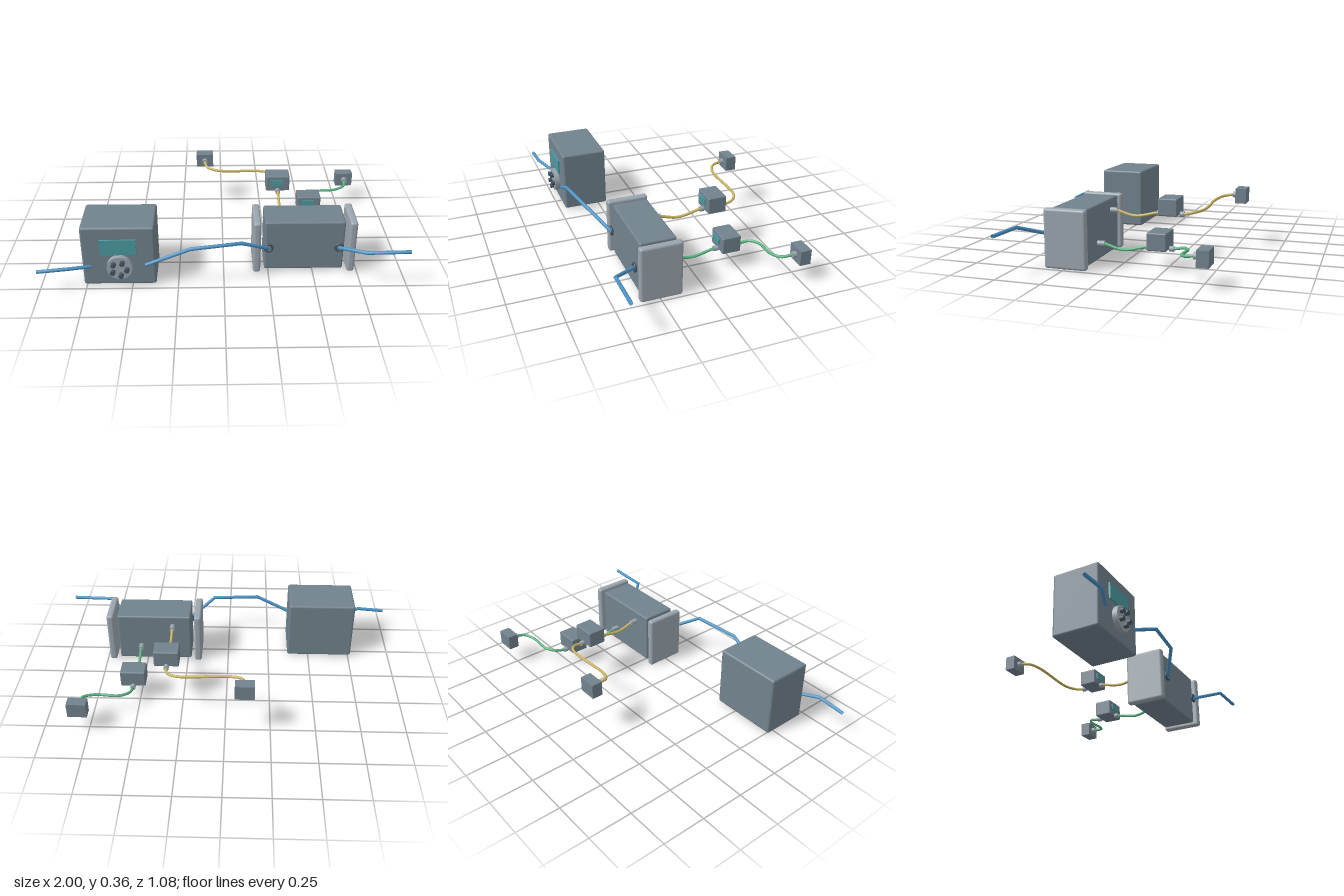
import * as THREE from 'three';
import { RoundedBoxGeometry } from 'three/addons/geometries/RoundedBoxGeometry.js';

const mat = (name, color, side = THREE.FrontSide) => {
  const m = new THREE.MeshStandardMaterial({ color, side });
  m.name = name;
  return m;
};

export function createModel() {
  const body = mat('slate housing', 0x71828d);
  const pale = mat('pale grey', 0x9aa5ae);
  const dark = mat('dark slate', 0x465662);
  const screen = mat('teal screen', 0x4a9aa0);
  const blue = mat('blue hose', 0x4a92c4, THREE.DoubleSide);
  const yellow = mat('yellow hose', 0xc6b262, THREE.DoubleSide);
  const green = mat('green hose', 0x5cb382, THREE.DoubleSide);

  const model = new THREE.Group();
  model.name = 'pumpAndCellAssembly';

  const add = (name, geo, material, x = 0, y = 0, z = 0) => {
    const m = new THREE.Mesh(geo, material);
    m.name = name;
    m.position.set(x, y, z);
    model.add(m);
    return m;
  };
  // box given by its min and max corners; r > 0 rounds the edges
  const box = (name, material, [x0, y0, z0], [x1, y1, z1], r = 0) => {
    const s = [x1 - x0, y1 - y0, z1 - z0];
    const geo = r ? new RoundedBoxGeometry(...s, 3, r) : new THREE.BoxGeometry(...s);
    return add(name, geo, material, (x0 + x1) / 2, (y0 + y1) / 2, (z0 + z1) / 2);
  };
  // cylinder lying along z
  const rod = (name, material, x, y, z0, z1, r, sides = 24) =>
    add(name, new THREE.CylinderGeometry(r, r, z1 - z0, sides).rotateX(Math.PI / 2),
      material, x, y, (z0 + z1) / 2);
  const curveOf = (pts) => new THREE.CatmullRomCurve3(pts.map((p) => new THREE.Vector3(...p)));
  const hose = (name, material, pts, r = 0.008) =>
    add(name, new THREE.TubeGeometry(curveOf(pts), 48, r, 12), material);
  // hose with straight runs: one ring per given point
  const bentHose = (name, pts) => {
    const c = curveOf(pts);
    c.getPointAt = (t, v) => c.getPoint(t, v);
    c.getTangentAt = (t, v) => c.getTangent(t, v);
    add(name, new THREE.TubeGeometry(c, pts.length - 1, 0.01, 12), blue);
  };

  // pump with display and roller head
  box('pumpHousing', body, [-0.765, 0.005, 0.2], [-0.37, 0.362, 0.465], 0.012);
  box('pumpScreen', screen, [-0.665, 0.2, 0.466], [-0.47, 0.292, 0.475]);
  const hx = -0.563, hy = 0.127;
  rod('pumpHead', pale, hx, hy, 0.46, 0.494, 0.069, 32);
  for (let i = 0; i < 5; i++) {
    const a = Math.PI * 0.36 + (i * Math.PI * 2) / 5;
    rod('pumpRoller', dark, hx + 0.041 * Math.cos(a), hy + 0.041 * Math.sin(a), 0.49, 0.515, 0.014, 16);
  }

  // cell block between two end plates
  box('cellBlock', body, [0.228, 0.01, 0.14], [0.67, 0.312, 0.34], 0.01);
  for (const x of [0.164, 0.692])
    box('endPlate', pale, [x, 0, 0.127], [x + 0.042, 0.317, 0.36], 0.014);

  // front ports
  for (const x of [0.248, 0.639])
    add('frontPort', new THREE.TorusGeometry(0.021, 0.007, 10, 28), dark, x, 0.162, 0.358);

  // blue hoses
  bentHose('inletHose', [[-1, 0.132, 0.527], [-0.84, 0.147, 0.525], [-0.72, 0.131, 0.478]]);
  bentHose('feedHose', [[-0.423, 0.133, 0.471], [-0.18, 0.246, 0.493], [0.095, 0.257, 0.457], [0.248, 0.161, 0.36]]);
  bentHose('outletHose', [[0.639, 0.161, 0.36], [0.765, 0.214, 0.497], [1, 0.219, 0.498]]);

  // two sensor lines behind the cell; s is the side the line bends to
  const lines = [
    { name: 'upper', m: yellow, x: 0.336, y: 0.248, ex: -0.106, s: -1 },
    { name: 'lower', m: green, x: 0.533, y: 0.104, ex: 0.801, s: 1 },
  ];
  for (const { name, m, x, y, ex, s } of lines) {
    const ey = y + 0.045;
    box(name + 'Sensor', body, [x - 0.071, y - 0.003, -0.26], [x + 0.071, y + 0.092, -0.154], 0.007);
    box(name + 'SensorScreen', screen, [x - 0.045, y + 0.034, -0.155], [x + 0.03, y + 0.071, -0.147]);
    box(name + 'EndUnit', body, [ex - 0.053, ey - 0.043, -0.542], [ex + 0.053, ey + 0.042, -0.48]);

    rod(name + 'CellFitting', pale, x, y, 0.1, 0.142, 0.015);
    rod(name + 'SensorInletFitting', pale, x, y, -0.155, -0.131, 0.015);
    rod(name + 'SensorOutletFitting', pale, x, y, -0.282, -0.258, 0.015);
    rod(name + 'EndFitting', pale, ex, ey, -0.482, -0.457, 0.0175);

    hose(name + 'SaggingHose', m, [[x, y, 0.102], [x, y - 0.025, 0], [x, y, -0.133]]);
    hose(name + 'BranchHose', m, [
      [x, y, -0.28], [x + s * 0.012, y + 0.012, -0.338], [x + s * 0.065, y + 0.018, -0.373],
      [ex - s * 0.075, y + 0.026, -0.377], [ex - s * 0.014, y + 0.036, -0.408], [ex, ey, -0.46],
    ]);
  }
  return model;
}
